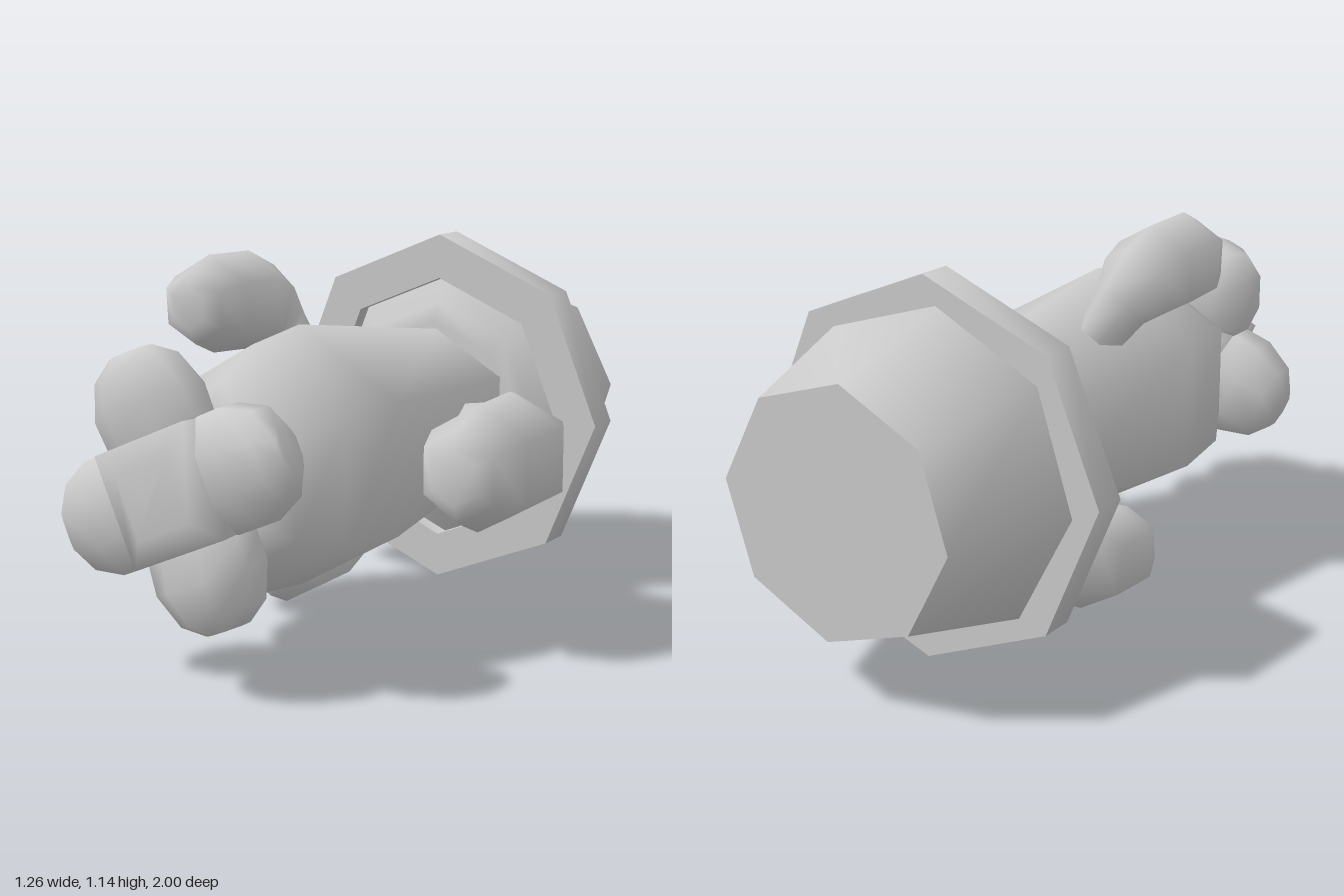
import * as THREE from 'three';
import { toCreasedNormals } from 'three/addons/utils/BufferGeometryUtils.js';

const material = new THREE.MeshStandardMaterial({ color: 0xcccccc });

function part(name, geometry, x = 0, y = 0) {
  const mesh = new THREE.Mesh(geometry, material);
  mesh.name = name;
  mesh.position.set(x, y, 0);
  return mesh;
}

// Turned shape along z from [radius, z] points
function turned(points, sides, angle = 0) {
  const g = new THREE.LatheGeometry(points.map(([r, z]) => new THREE.Vector2(r, z)), sides);
  return g.rotateX(Math.PI / 2).rotateZ(angle);
}

// Smooth skin over closed rings, capped at both ends
function loft(rings) {
  const n = rings[0].length;
  const pos = [], index = [];
  rings.forEach(ring => ring.forEach(p => pos.push(p.x, p.y, p.z)));
  for (let i = 0; i < rings.length - 1; i++) {
    for (let j = 0; j < n; j++) {
      const a = i * n + j, b = i * n + (j + 1) % n;
      index.push(a, b, b + n, a, b + n, a + n);
    }
  }
  const last = (rings.length - 1) * n;
  for (let j = 1; j < n - 1; j++) {
    index.push(0, j + 1, j, last, last + j, last + j + 1);
  }
  const g = new THREE.BufferGeometry();
  g.setAttribute('position', new THREE.Float32BufferAttribute(pos, 3));
  g.setIndex(index);
  g.computeVertexNormals();
  return g;
}

// Ring around a centre, spanned by two half-axes
function ringOf(center, a, b, sides) {
  return Array.from({ length: sides }, (_, j) => {
    const t = (j + 0.5) * 2 * Math.PI / sides;
    return center.clone().addScaledVector(a, Math.cos(t)).addScaledVector(b, Math.sin(t));
  });
}

// Six-sided bent arm: each row is outer x, outer z, inner x, inner z, from root to tip
const ARM = [
  [-0.37, -0.60, -0.37, -0.43],
  [-0.25, -0.60, -0.26, -0.43],
  [-0.07, -0.58, -0.19, -0.41],
  [0.08, -0.50, -0.18, -0.38],
  [0.15, -0.37, -0.17, -0.30],
  [0.16, -0.13, -0.16, -0.15],
  [0.115, -0.02, -0.12, -0.04],
  [0.07, 0, -0.07, 0],
];

function armGeometry(angle, distance, tipZ, scale) {
  const rings = ARM.map(([ox, oz, ix, iz]) => {
    const outer = new THREE.Vector3(ox, 0, oz), inner = new THREE.Vector3(ix, 0, iz);
    const center = outer.clone().add(inner).multiplyScalar(0.5);
    const a = outer.clone().sub(inner).multiplyScalar(0.5 / Math.cos(Math.PI / 6));
    return ringOf(center, a, new THREE.Vector3(0, a.length(), 0), 6);
  });
  return loft(rings).scale(scale, scale, scale).translate(distance, 0, tipZ).rotateZ(angle);
}

// Eight-sided petal: each row is distance, half width, back z, front z
const PETAL = [
  [0.12, 0.16, 0.77, 0.965],
  [0.17, 0.165, 0.765, 0.965],
  [0.25, 0.165, 0.755, 0.985],
  [0.35, 0.125, 0.78, 0.965],
  [0.395, 0.065, 0.83, 0.92],
];

function petalGeometry(angle) {
  const k = 1 / Math.cos(Math.PI / 8);
  const rings = PETAL.map(([r, w, back, front]) => ringOf(
    new THREE.Vector3(r, 0, (back + front) / 2),
    new THREE.Vector3(0, w * k, 0),
    new THREE.Vector3(0, 0, (front - back) / 2 * k), 8));
  return loft(rings).rotateZ(angle);
}

export function createModel() {
  const model = new THREE.Group();
  model.name = 'pottedCactus';

  // Pot, rim and soil, all eight-sided
  const potX = -0.07, potY = 0.565;
  const pot = turned([[0, -1], [0.37, -1], [0.485, -0.585]], 8, 0.085);
  const rim = turned([[0.42, -0.59], [0.565, -0.59], [0.565, -0.48], [0.425, -0.48], [0.425, -0.54]], 8);
  const soil = turned([[0.425, -0.53], [0.345, -0.475], [0.29, -0.445], [0, -0.44]], 8);
  model.add(part('pot', toCreasedNormals(pot, 0.9), potX, potY));
  model.add(part('potRim', toCreasedNormals(rim, 0.9), potX, potY));
  model.add(part('soil', soil, potX, potY));

  // Six-sided trunk
  const bodyX = -0.06, bodyY = 0.56;
  const trunk = turned([[0.265, -0.5], [0.27, -0.45], [0.388, 0.33], [0.362, 0.56],
    [0.28, 0.71], [0.19, 0.76], [0, 0.77]], 6);
  model.add(part('trunk', trunk, bodyX, bodyY));

  // Three arms spaced around the trunk
  const third = 2 * Math.PI / 3;
  model.add(part('leftArm', armGeometry(0, 0.53, 0.355, 1), bodyX, bodyY + 0.005));
  model.add(part('upperArm', armGeometry(third, 0.505, 0.52, 0.78), bodyX, bodyY));
  model.add(part('lowerArm', armGeometry(2 * third, 0.46, 0.18, 0.78), bodyX, bodyY));

  // Four-petalled flower
  const flower = new THREE.Group();
  flower.name = 'flower';
  flower.position.set(-0.08, 0.567, 0);
  const tilt = 0.41;
  flower.add(part('flowerCentre', turned([[0, 0.755], [0.22, 0.765], [0.233, 0.965],
    [0.13, 0.995], [0, 1]], 4, tilt + Math.PI / 4)));
  for (let i = 0; i < 4; i++) {
    flower.add(part('petal', petalGeometry(tilt + i * Math.PI / 2)));
  }
  model.add(flower);

  return model;
}
